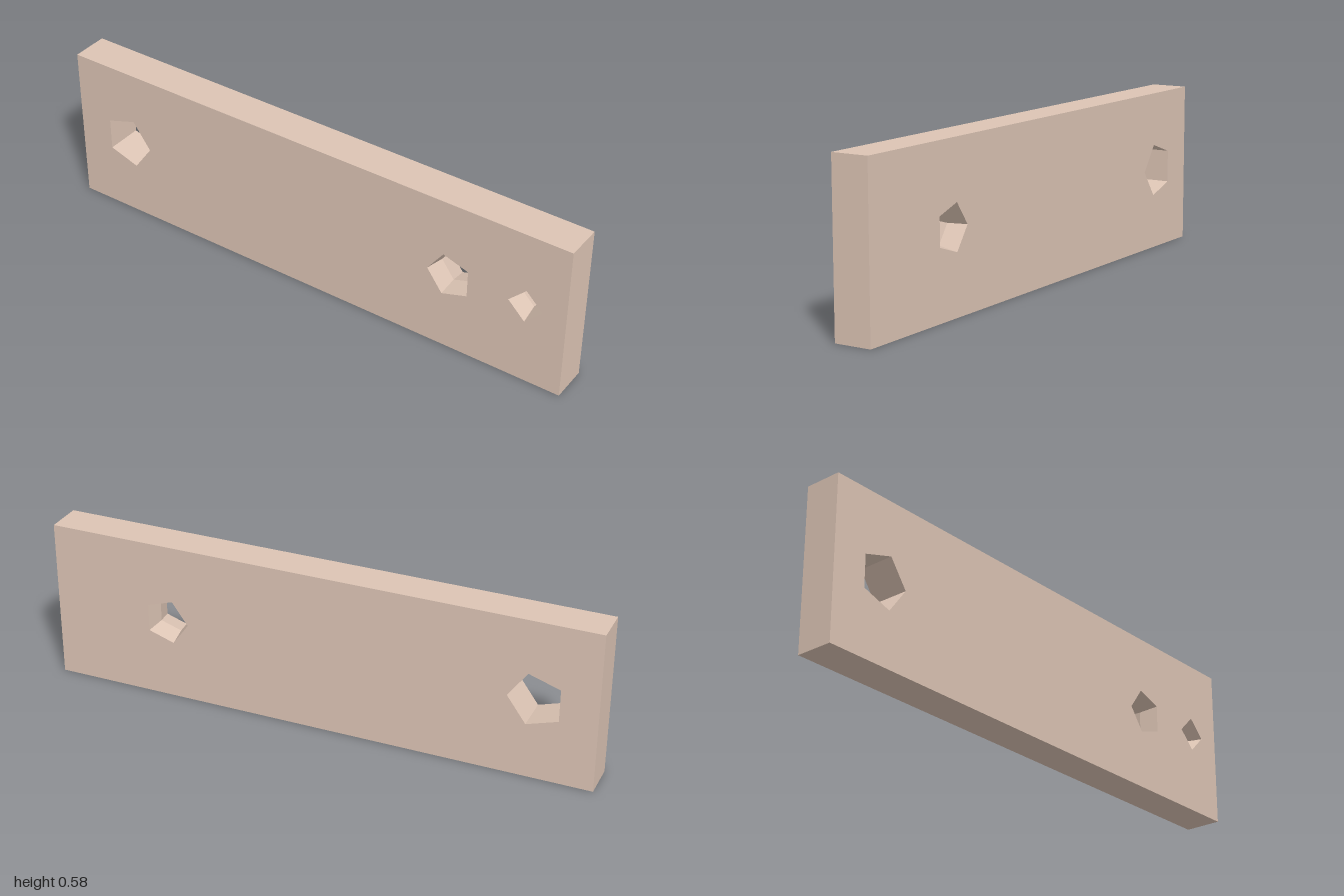
import * as THREE from 'three';

const W = 2, H = 0.585, D = 0.135, F = D / 2;

// Each hole: centre, number of sides, angle of first corner, profile of [radius, z] from front to back
const HOLES = [
  { name: 'straightHole', x: -0.787, y: 0.295, sides: 5, turn: 0, profile: [[0.1, F], [0.1, -F]] },
  { name: 'waistedHole', x: 0.568, y: 0.295, sides: 5, turn: Math.PI, profile: [[0.085, F], [0.069, 0], [0.085, -F]] },
  { name: 'blindHole', x: 0.852, y: 0.305, sides: 4, turn: 0, profile: [[0.063, F], [0.043, 0.005], [0.055, -0.045], [0, -0.045]] },
];

function polygonPath({ x, y, sides, turn }, r) {
  const pts = [];
  for (let i = 0; i < sides; i++) {
    const a = turn - (i / sides) * Math.PI * 2;
    pts.push(new THREE.Vector2(x + r * Math.cos(a), y + r * Math.sin(a)));
  }
  return new THREE.Path(pts);
}

// Flat face of the board, pierced by the given holes
function faceGeometry(holes) {
  const s = new THREE.Shape([[-W / 2, 0], [W / 2, 0], [W / 2, H], [-W / 2, H]].map(p => new THREE.Vector2(...p)));
  s.holes = holes;
  return new THREE.ShapeGeometry(s);
}

export function createModel() {
  const group = new THREE.Group();
  group.name = 'board';
  const mat = new THREE.MeshStandardMaterial({ color: 0xdcc4b4, flatShading: true, side: THREE.DoubleSide });
  const add = (name, geometry) => {
    const mesh = new THREE.Mesh(geometry, mat);
    mesh.name = name;
    group.add(mesh);
    return mesh;
  };

  // Front face has all holes, back face only those that go right through
  add('frontFace', faceGeometry(HOLES.map(h => polygonPath(h, h.profile[0][0])))).position.z = F;
  const through = HOLES.filter(h => h.profile.at(-1)[0] > 0);
  const back = faceGeometry(through.map(h => polygonPath({ ...h, x: -h.x, turn: Math.PI - h.turn }, h.profile.at(-1)[0])));
  add('backFace', back.rotateY(Math.PI).translate(0, 0, -F));

  // Four outer edges as a square sleeve
  const rim = new THREE.CylinderGeometry(Math.SQRT1_2, Math.SQRT1_2, 1, 4, 1, true, Math.PI / 4);
  add('outerEdges', rim.rotateX(Math.PI / 2).scale(W, H, D).translate(0, H / 2, 0));

  // Inner walls of the holes
  for (const h of HOLES) {
    const pts = h.profile.map(([r, z]) => new THREE.Vector2(r, z));
    const wall = new THREE.LatheGeometry(pts, h.sides, h.turn + Math.PI / 2);
    add(h.name, wall.rotateX(Math.PI / 2).translate(h.x, h.y, 0));
  }
  return group;
}
